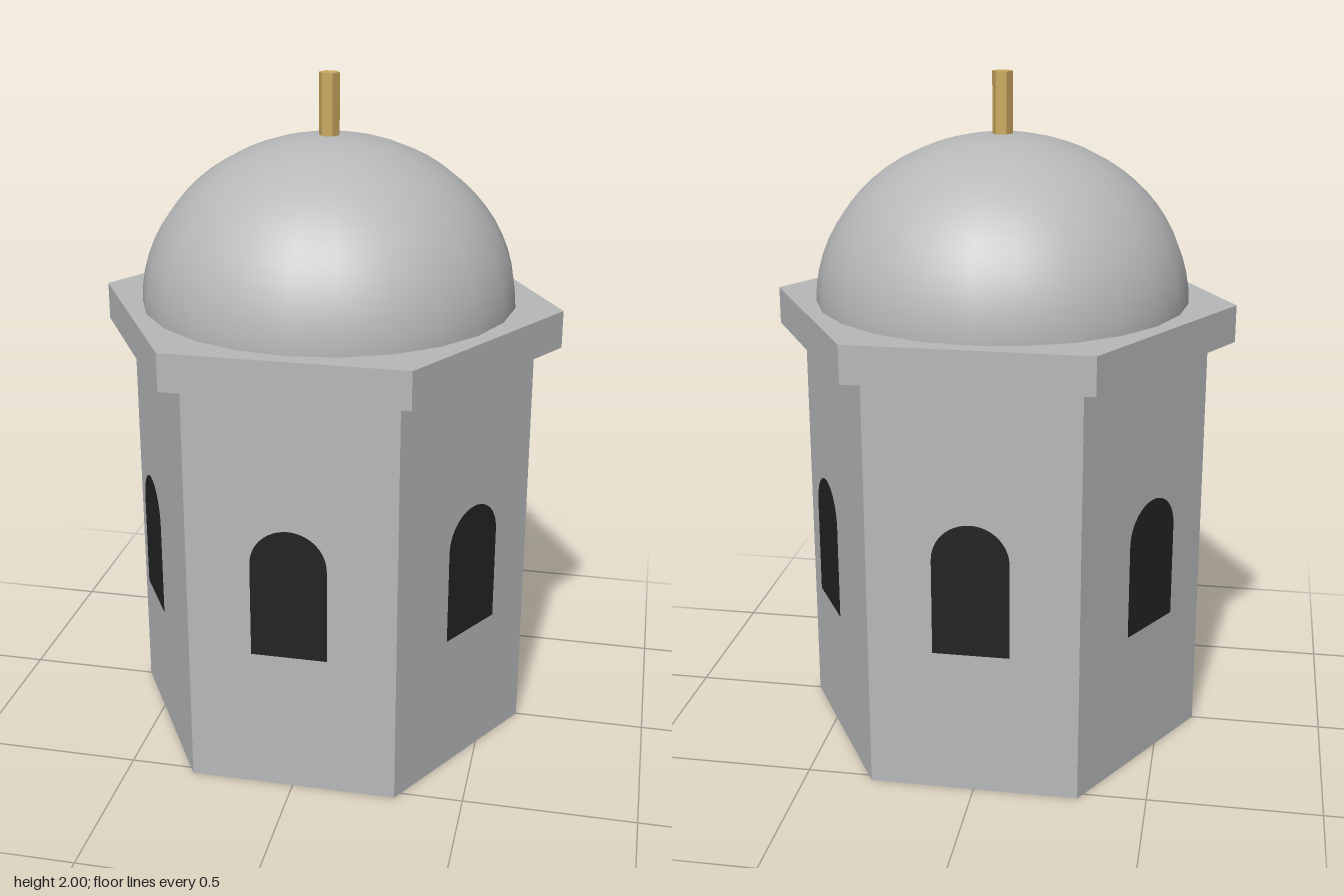
import * as THREE from 'three';

export function createModel() {
  const model = new THREE.Group();
  const material = (name, color, options = {}) => {
    const m = new THREE.MeshStandardMaterial({ color, ...options });
    m.name = name;
    return m;
  };
  const stone = material('stone', 0xb7b8ba, { side: THREE.DoubleSide, flatShading: true });
  const domeStone = stone.clone();
  domeStone.name = 'domeStone';
  domeStone.flatShading = false;
  const dark = material('windowDark', 0x232323, { side: THREE.DoubleSide });
  const gold = material('gold', 0xcaa95f, { flatShading: true });

  const add = (name, geometry, mat, y = 0) => {
    const mesh = new THREE.Mesh(geometry, mat);
    mesh.name = name;
    mesh.position.y = y;
    model.add(mesh);
    return mesh;
  };
  // Hexagonal prism with corners on the x axis and a flat side to the front
  const hexPrism = (radius, height, open = false) =>
    new THREE.CylinderGeometry(radius, radius, height, 6, 1, open)
      .rotateY(Math.PI / 6)
      .translate(0, height / 2, 0);

  // Hollow tower walls, open at the bottom, and the overhanging cornice
  add('walls', hexPrism(0.607, 1.235, true), stone);
  add('cornice', hexPrism(0.685, 0.11), stone, 1.235);

  // Flattened half-sphere dome
  const domeGeometry = new THREE.SphereGeometry(0.547, 24, 16, 0, Math.PI * 2, 0, Math.PI / 2);
  domeGeometry.scale(1, 0.48 / 0.547, 1);
  add('dome', domeGeometry, domeStone, 1.345);

  // Finial rod
  add('finial', hexPrism(0.03, 0.2), gold, 1.8);

  // One round-arched window panel in front of each wall
  const arch = new THREE.Shape();
  arch.moveTo(-0.11, 0.445);
  arch.lineTo(0.11, 0.445);
  arch.lineTo(0.11, 0.728);
  arch.absarc(0, 0.728, 0.11, 0, Math.PI, false);
  arch.closePath();
  const windowGeometry = new THREE.ShapeGeometry(arch, 12).translate(0, 0, 0.554);
  for (let i = 0; i < 6; i++) {
    add(`window${i + 1}`, windowGeometry, dark).rotation.y = (i * Math.PI) / 3;
  }
  return model;
}
